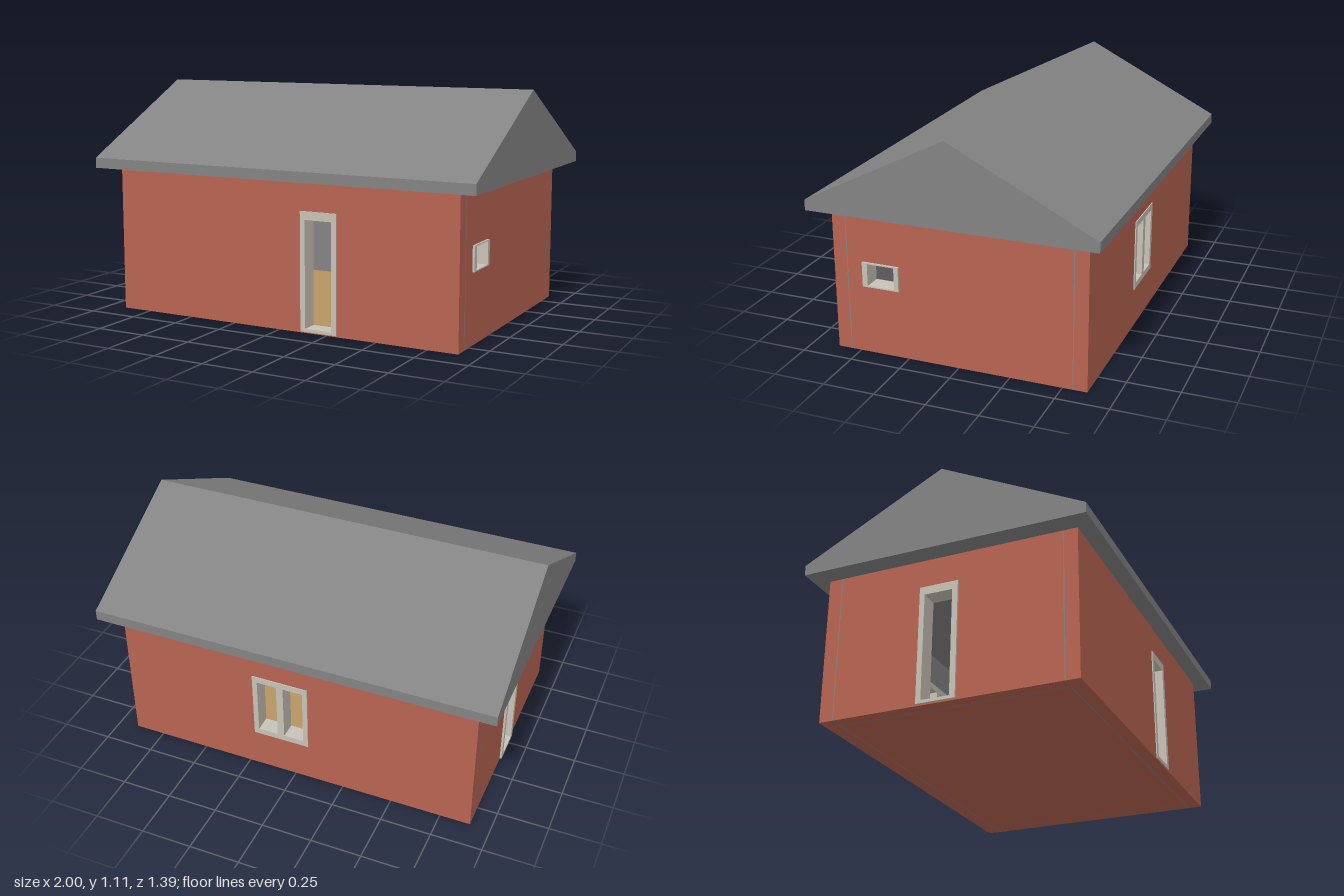
import * as THREE from 'three';

const T = 0.07; // wall thickness
const LINING = 0.005; // inner plaster
const HX = 0.9, HZ = 0.617, WALL_TOP = 0.71;

const material = (name, color, side = THREE.FrontSide) => {
  const m = new THREE.MeshStandardMaterial({ color, side });
  m.name = name;
  return m;
};

// Rectangle outline from [x0, y0, x1, y1]
function outline([x0, y0, x1, y1], Type = THREE.Shape) {
  return new Type([[x0, y0], [x1, y0], [x1, y1], [x0, y1]].map(([x, y]) => new THREE.Vector2(x, y)));
}

// Flat panel with rectangular holes, extruded from z0 to z1
function panel(name, rect, holes, z0, z1, mat) {
  const shape = outline(rect);
  shape.holes = holes.map((h) => outline(h, THREE.Path));
  const geo = new THREE.ExtrudeGeometry(shape, { depth: z1 - z0, bevelEnabled: false });
  const mesh = new THREE.Mesh(geo.translate(0, 0, z0), mat);
  mesh.name = name;
  return mesh;
}

export function createModel() {
  const red = material('brick red', 0xb86452);
  const grey = material('slate grey', 0x838383);
  const beige = material('frame beige', 0xc8c2b6);
  const tan = material('floor tan', 0xb59361);

  const house = new THREE.Group();
  house.name = 'house';

  // Each wall is modelled facing +z, then turned to its side
  const walls = [
    { name: 'front', half: HX, dist: HZ, turn: 0, proud: 0.005, opening: 'Door',
      hole: [0.115, 0.006, 0.303, 0.57], panes: [[0.14, 0.021, 0.276, 0.53]] },
    { name: 'back', half: HX, dist: HZ, turn: Math.PI, proud: 0.005, opening: 'Window',
      hole: [-0.215, 0.2, 0.07, 0.55],
      panes: [[-0.19, 0.23, -0.09, 0.52], [-0.055, 0.23, 0.045, 0.52]] },
    { name: 'left', half: HZ - T, dist: HX, turn: Math.PI / 2, proud: 0.01, opening: 'Window',
      hole: [-0.47, 0.335, -0.288, 0.455], panes: [[-0.444, 0.341, -0.31, 0.449]] },
    { name: 'right', half: HZ - T, dist: HX, turn: -Math.PI / 2, proud: 0.01, opening: 'Door',
      hole: [-0.135, 0.006, 0.053, 0.57], panes: [[-0.11, 0.021, 0.026, 0.53]] },
  ];
  for (const w of walls) {
    const side = new THREE.Group();
    side.name = w.name + 'Side';
    const rect = [-w.half, 0, w.half, WALL_TOP];
    side.add(
      panel(w.name + 'Wall', rect, [w.hole], w.dist - T + LINING, w.dist, red),
      panel(w.name + 'Lining', rect, [w.hole], w.dist - T, w.dist - T + LINING, grey),
      panel(w.name + w.opening + 'Frame', w.hole, w.panes, w.dist - T - 0.006, w.dist + w.proud, beige),
    );
    side.rotation.y = w.turn;
    house.add(side);
  }

  // Base slab and floor inside the walls
  const slab = (name, y0, y1, mat) => {
    const mesh = new THREE.Mesh(new THREE.BoxGeometry(2 * (HX - T), y1 - y0, 2 * (HZ - T)), mat);
    mesh.position.y = (y0 + y1) / 2;
    mesh.name = name;
    house.add(mesh);
  };
  slab('base', 0, 0.01, red);
  slab('floor', 0.01, 0.017, tan);

  // Solid gabled roof, extruded along x
  const gable = new THREE.Shape([[-0.693, WALL_TOP], [0.693, WALL_TOP], [0.693, 0.76], [0, 1.113], [-0.693, 0.76]]
    .map(([z, y]) => new THREE.Vector2(z, y)));
  const roof = new THREE.Mesh(
    new THREE.ExtrudeGeometry(gable, { depth: 2, bevelEnabled: false }).translate(0, 0, -1).rotateY(Math.PI / 2), grey);
  roof.name = 'roof';
  house.add(roof);

  return house;
}
